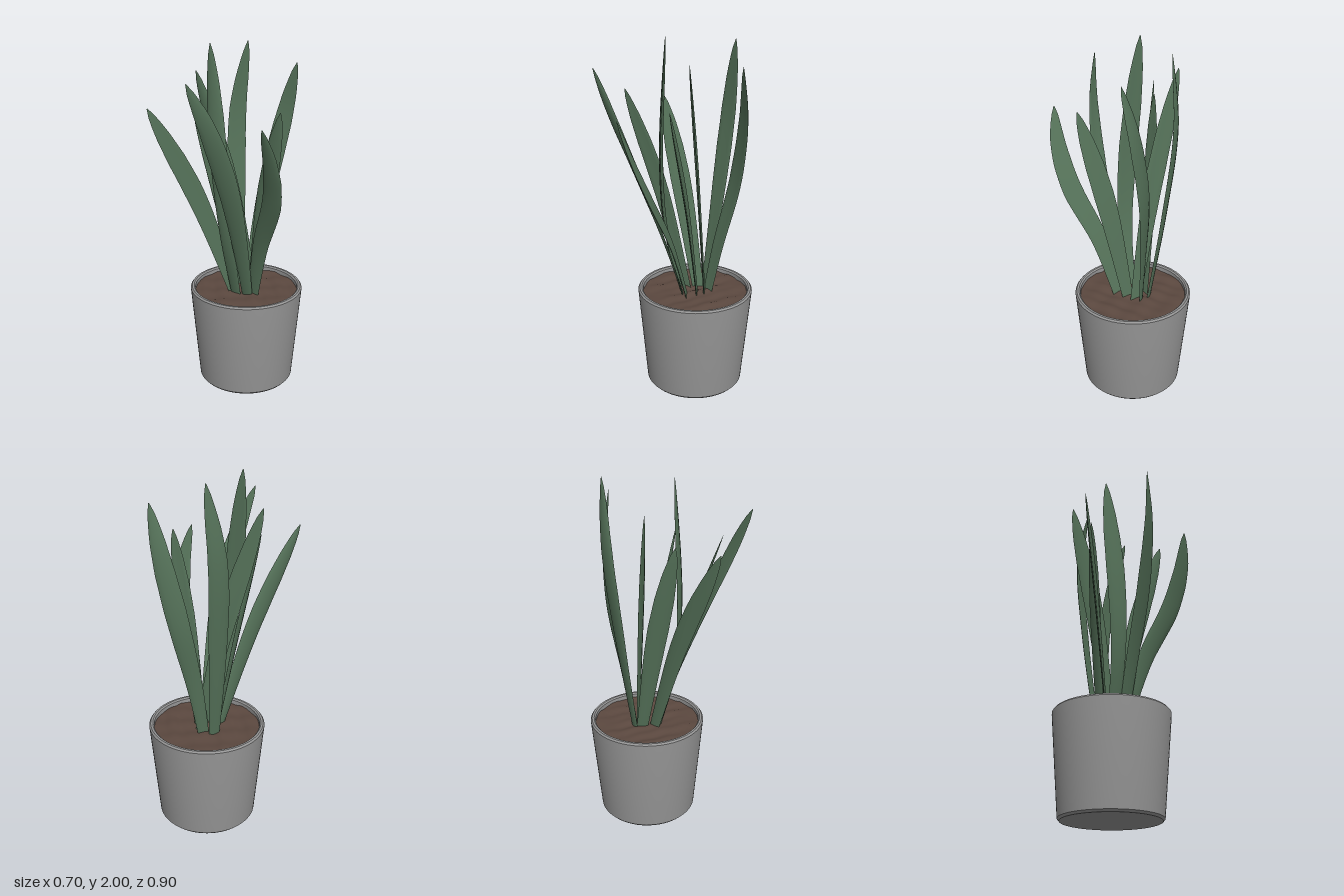
import * as THREE from 'three';
import { toCreasedNormals } from 'three/addons/utils/BufferGeometryUtils.js';

const CX = -0.008, CZ = -0.12; // pot axis
const potMat = new THREE.MeshStandardMaterial({ color: 0x959595 });
const soilMat = new THREE.MeshStandardMaterial({ color: 0x5b483f });
const leafMat = new THREE.MeshStandardMaterial({ color: 0x56735a, side: THREE.DoubleSide });

// Linear lookup in a list of [t, value] stops
function ramp(stops, t) {
  for (let i = 1; i < stops.length; i++) {
    const [t0, v0] = stops[i - 1], [t1, v1] = stops[i];
    if (t <= t1) return THREE.MathUtils.lerp(v0, v1, (t - t0) / (t1 - t0));
  }
  return stops[stops.length - 1][1];
}

// Half width of a blade from root to tip
const HALF_WIDTH = [[0, 0.03], [0.25, 0.043], [0.45, 0.053], [0.6, 0.057], [0.75, 0.052],
  [0.87, 0.039], [0.95, 0.022], [0.985, 0.011], [1, 0.002]];

// A cupped lens section swept along a curve; the width turns from angle a0 to a1 (degrees)
function leafGeometry(points, a0, a1) {
  const curve = new THREE.CatmullRomCurve3(points.map(p => new THREE.Vector3(...p)));
  const rings = 28, sides = 12, pos = [], index = [];
  const axis = new THREE.Vector3(CX, 0, CZ);
  const frame = t => {
    const p = curve.getPointAt(t), T = curve.getTangentAt(t);
    const a = THREE.MathUtils.degToRad(THREE.MathUtils.lerp(a0, a1, t));
    const W = new THREE.Vector3(Math.cos(a), 0, Math.sin(a));
    W.addScaledVector(T, -W.dot(T)).normalize();
    return { p, W, N: T.clone().cross(W) };
  };
  const f = frame(0.6); // the hollow side faces the pot axis
  const inward = Math.sign(axis.clone().sub(f.p).setY(0).dot(f.N)) || 1;
  for (let i = 0; i <= rings; i++) {
    const t = i / rings, { p, W, N } = frame(t), w = ramp(HALF_WIDTH, t);
    for (let j = 0; j < sides; j++) {
      const th = j / sides * Math.PI * 2, c = Math.cos(th);
      const n = Math.sin(th) * w * 0.13 + inward * w * 0.12 * (c * c - 0.5);
      const v = p.clone().addScaledVector(W, c * w).addScaledVector(N, n);
      pos.push(v.x, v.y, v.z);
      if (i < rings) {
        const k = (j + 1) % sides, r = i * sides, s = r + sides;
        index.push(r + j, r + k, s + j, r + k, s + k, s + j);
      }
    }
  }
  const g = new THREE.BufferGeometry();
  g.setAttribute('position', new THREE.Float32BufferAttribute(pos, 3));
  g.setIndex(index);
  return toCreasedNormals(g, 0.9);
}

// Centre-line points, then width angle at the root and at the tip
const LEAVES = [
  [[[0.035, 0.5, -0.07], [0.05, 0.85, 0.04], [0.063, 1.25, 0.19], [0.035, 1.6, 0.34], [-0.02, 1.84, 0.445]], -8, -48],
  [[[-0.05, 0.5, -0.08], [-0.19, 1.15, 0.11], [-0.345, 1.68, 0.335]], 118, 122],
  [[[0.05, 0.5, -0.09], [0.15, 0.9, 0], [0.27, 1.2, 0.1], [0.305, 1.42, 0.185], [0.295, 1.62, 0.26]], 0, 0],
  [[[0.02, 0.5, -0.14], [0.13, 1.13, -0.08], [0.26, 1.66, -0.005]], 0, 2],
  [[[-0.03, 0.5, -0.185], [-0.01, 0.85, -0.25], [0.03, 1.25, -0.34], [0.1, 1.6, -0.375], [0.172, 1.88, -0.365]], -50, -25],
  [[[-0.08, 0.5, -0.17], [-0.14, 1.1, -0.235], [-0.165, 1.6, -0.285], [-0.115, 1.99, -0.315]], -45, -52],
  [[[-0.03, 0.5, -0.05], [-0.035, 0.9, 0.05], [-0.06, 1.3, 0.083], [-0.125, 2, 0.065]], 0, 0],
  [[[0.01, 0.5, -0.18], [-0.12, 1.2, -0.12], [-0.295, 1.84, -0.05]], 180, 178],
  [[[-0.07, 0.5, -0.14], [-0.15, 1.13, -0.03], [-0.225, 1.67, 0.09]], 76, 82],
];

export function createModel() {
  const model = new THREE.Group();

  // Tapered pot with bevelled foot and rim
  const profile = [[0, 0], [0.272, 0], [0.283, 0.012], [0.332, 0.572], [0.332, 0.58], [0.324, 0.59],
    [0.312, 0.59], [0.304, 0.582], [0.3, 0.5]].map(p => new THREE.Vector2(...p));
  const pot = new THREE.Mesh(toCreasedNormals(new THREE.LatheGeometry(profile, 64), 0.4), potMat);
  pot.name = 'pot';
  pot.position.set(CX, 0, CZ);
  model.add(pot);

  // Lumpy soil surface
  const soilGeo = new THREE.RingGeometry(0.0001, 0.303, 48, 16).rotateX(-Math.PI / 2);
  const sp = soilGeo.attributes.position;
  for (let i = 0; i < sp.count; i++) {
    const x = sp.getX(i), z = sp.getZ(i);
    sp.setY(i, 0.006 * Math.sin(31 * x + 9 * z) * Math.cos(27 * z - 6 * x) + 0.004 * Math.sin(58 * x - 43 * z));
  }
  soilGeo.computeVertexNormals();
  const soil = new THREE.Mesh(soilGeo, soilMat);
  soil.name = 'soil';
  soil.position.set(CX, 0.56, CZ);
  model.add(soil);

  // Upright blade leaves
  const leaves = new THREE.Group();
  leaves.name = 'leaves';
  LEAVES.forEach(([points, a0, a1], i) => {
    const leaf = new THREE.Mesh(leafGeometry(points, a0, a1), leafMat);
    leaf.name = `leaf${i + 1}`;
    leaves.add(leaf);
  });
  model.add(leaves);
  return model;
}
